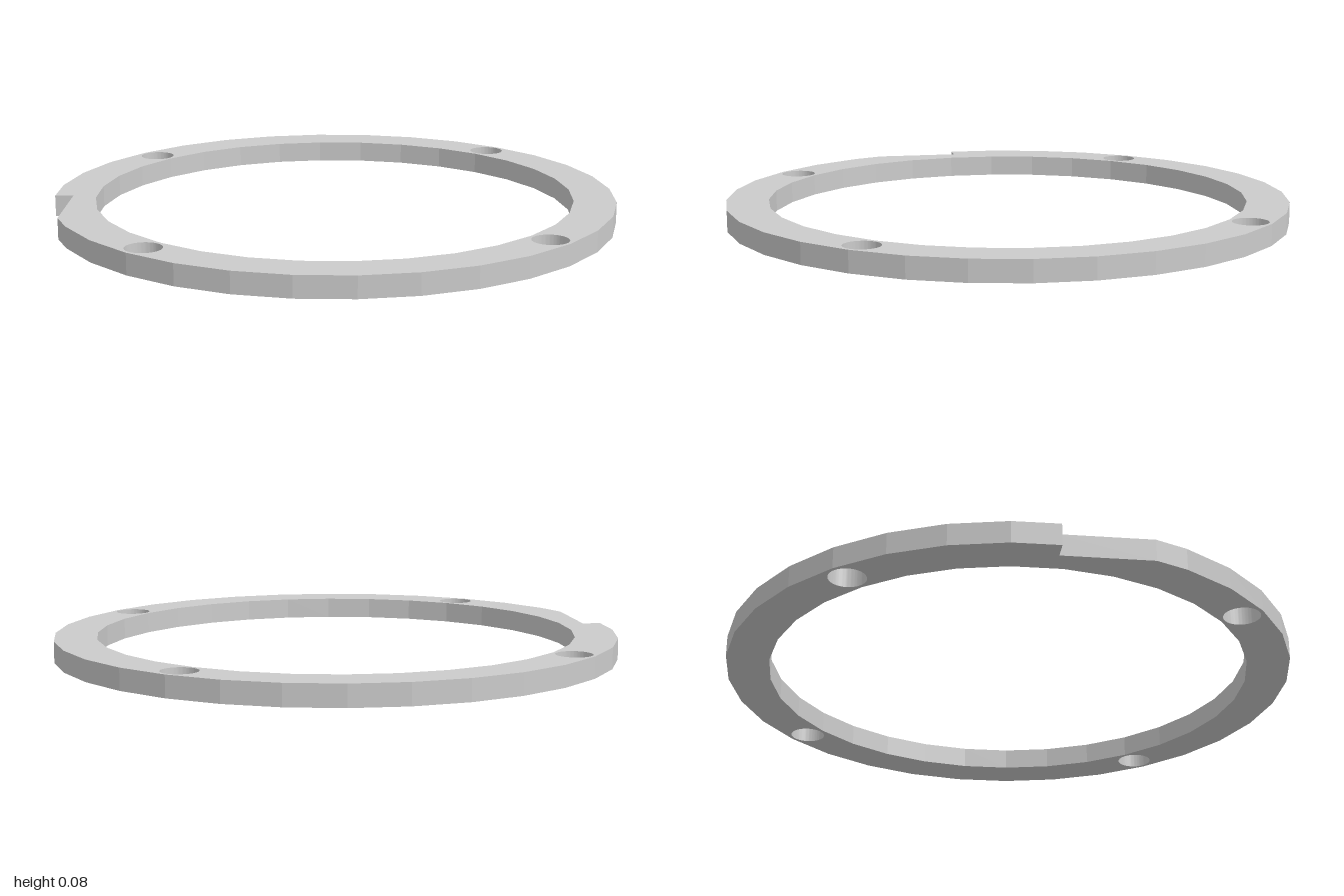
import * as THREE from 'three';
import { toCreasedNormals } from 'three/addons/utils/BufferGeometryUtils.js';

const SIDES = 32, OUTER = 1, INNER = 0.85, HEIGHT = 0.075;
const HOLE_CENTRE = 0.925, HOLE_RADIUS = 0.0625;

// Point on a circle at one of the 32 corner positions
const corner = (radius, i) => {
  const a = (i / SIDES) * Math.PI * 2;
  return new THREE.Vector2(radius * Math.cos(a), radius * Math.sin(a));
};

export function createModel() {
  const group = new THREE.Group();
  group.name = 'flangeRing';

  // Faceted outer rim, running round from one end of the notch to the other
  const rim = [];
  for (let i = 14; i <= 43; i++) rim.push(corner(OUTER, i));
  // Ratchet notch: short step inwards, then a long flat back to the rim
  rim.push(
    new THREE.Vector2(-0.678, 0.732),
    new THREE.Vector2(-0.636, 0.682),
    new THREE.Vector2(-0.871, 0.487)
  );
  const shape = new THREE.Shape(rim);

  // Faceted central opening
  const opening = [];
  for (let i = 0; i < SIDES; i++) opening.push(corner(INNER, i));
  shape.holes.push(new THREE.Path(opening));

  // Four round bolt holes
  for (let i = 0; i < 4; i++) {
    const c = corner(HOLE_CENTRE, i * SIDES / 4);
    shape.holes.push(new THREE.Path().absarc(c.x, c.y, HOLE_RADIUS, 0, Math.PI * 2, true));
  }

  // Extrude upwards; the crease angle keeps rim facets flat and bolt holes smooth
  const extruded = new THREE.ExtrudeGeometry(shape, { depth: HEIGHT, bevelEnabled: false, curveSegments: 48 });
  extruded.rotateX(-Math.PI / 2);
  const ring = new THREE.Mesh(
    toCreasedNormals(extruded, 0.16),
    new THREE.MeshStandardMaterial({ color: 0xcccccc })
  );
  ring.name = 'notchedRing';
  group.add(ring);
  return group;
}
